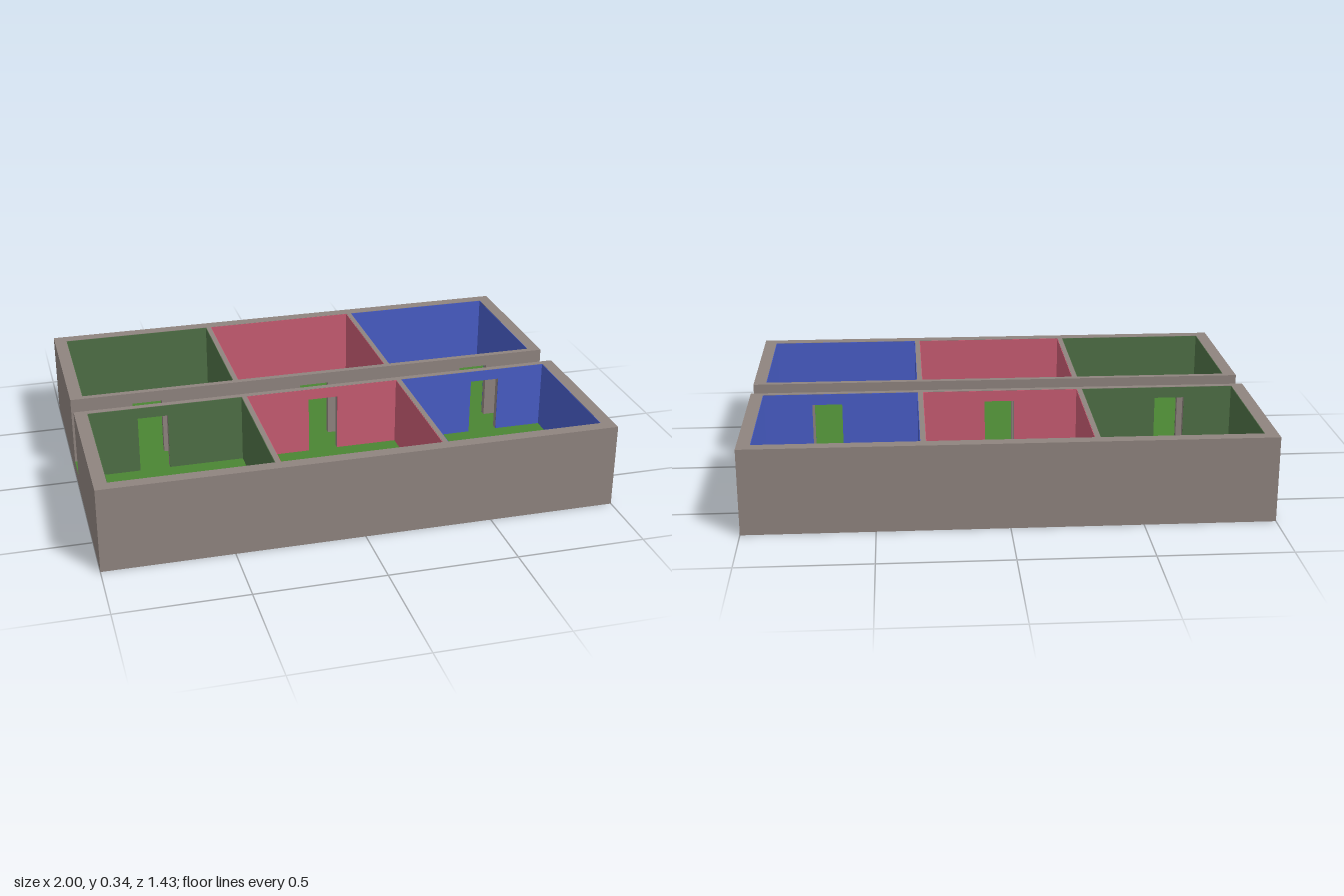
import * as THREE from 'three';

const WALL = new THREE.MeshStandardMaterial({ color: 0x8f847f });
const FLOOR = new THREE.MeshStandardMaterial({ color: 0x4a8533 });
const PAINT = [0x4f7046, 0xc75c72, 0x485dc6].map((color) => new THREE.MeshStandardMaterial({ color }));

const BASE = 0.06, TOP = 0.335, DOOR_TOP = 0.29, DOOR_HALF = 0.06;
const HALF_X = 1, HALF_Z = 0.715;
const IN_X = 0.95, IN_Z = 0.667; // inner faces of the outer walls
const HALL = 0.058, HALL_IN = 0.083; // corridor wall faces
const SKIN = 0.002; // paint thickness
const ROOMS = [
  { x0: -IN_X, x1: -0.335, door: -0.695 },
  { x0: -0.315, x1: 0.31, door: 0 },
  { x0: 0.33, x1: IN_X, door: 0.695 },
];

export function createModel() {
  const model = new THREE.Group();

  const add = (name, geometry, material) => {
    const mesh = new THREE.Mesh(geometry, material);
    mesh.name = name;
    model.add(mesh);
  };

  // Box given by its extents; z is mirrored by side s
  const box = (name, x0, x1, y0, y1, z0, z1, material, s = 1) => {
    const g = new THREE.BoxGeometry(x1 - x0, y1 - y0, z1 - z0);
    g.translate((x0 + x1) / 2, (y0 + y1) / 2, (s * (z0 + z1)) / 2);
    add(name, g, material);
  };

  // Wall along x with door openings that reach down to the floor
  const doorWall = (name, x0, x1, top, z0, z1, doors, material, s) => {
    const shape = new THREE.Shape();
    shape.moveTo(x0, BASE);
    for (const d of doors) {
      shape.lineTo(d - DOOR_HALF, BASE);
      shape.lineTo(d - DOOR_HALF, DOOR_TOP);
      shape.lineTo(d + DOOR_HALF, DOOR_TOP);
      shape.lineTo(d + DOOR_HALF, BASE);
    }
    shape.lineTo(x1, BASE);
    shape.lineTo(x1, top);
    shape.lineTo(x0, top);
    const g = new THREE.ExtrudeGeometry(shape, { depth: z1 - z0, bevelEnabled: false });
    g.translate(0, 0, s > 0 ? z0 : -z1);
    add(name, g, material);
  };

  // Ground slab: green above and below, wall colour on its edges
  box('groundSlab', -HALF_X, HALF_X, 0, BASE, -HALF_Z, HALF_Z, [WALL, WALL, FLOOR, FLOOR, WALL, WALL]);

  // Two rows of rooms on either side of the corridor
  for (const s of [1, -1]) {
    const row = s > 0 ? 'front' : 'back';

    box(row + 'OuterWall', -HALF_X, HALF_X, BASE, TOP, IN_Z, HALF_Z, WALL, s);
    box(row + 'RightEndWall', -HALF_X, -IN_X, BASE, TOP, HALL_IN, IN_Z, WALL, s);
    box(row + 'LeftEndWall', IN_X, HALF_X, BASE, TOP, HALL_IN, IN_Z, WALL, s);
    doorWall(row + 'CorridorWall', -HALF_X, HALF_X, TOP, HALL, HALL_IN, ROOMS.map((r) => r.door), WALL, s);

    // Partitions between neighbouring rooms
    for (let i = 0; i < 2; i++) {
      box(row + 'Partition', ROOMS[i].x1, ROOMS[i + 1].x0, BASE, TOP, HALL_IN, IN_Z, WALL, s);
    }

    // Painted linings on the four walls of each room
    ROOMS.forEach(({ x0, x1, door }, i) => {
      const y = TOP - 0.001, paint = PAINT[i];
      box(row + 'RoomOuterLining', x0, x1, BASE, y, IN_Z - SKIN, IN_Z, paint, s);
      box(row + 'RoomSideLining', x0, x0 + SKIN, BASE, y, HALL_IN + SKIN, IN_Z - SKIN, paint, s);
      box(row + 'RoomSideLining', x1 - SKIN, x1, BASE, y, HALL_IN + SKIN, IN_Z - SKIN, paint, s);
      doorWall(row + 'RoomDoorLining', x0, x1, y, HALL_IN, HALL_IN + SKIN, [door], paint, s);
    });
  }

  return model;
}
